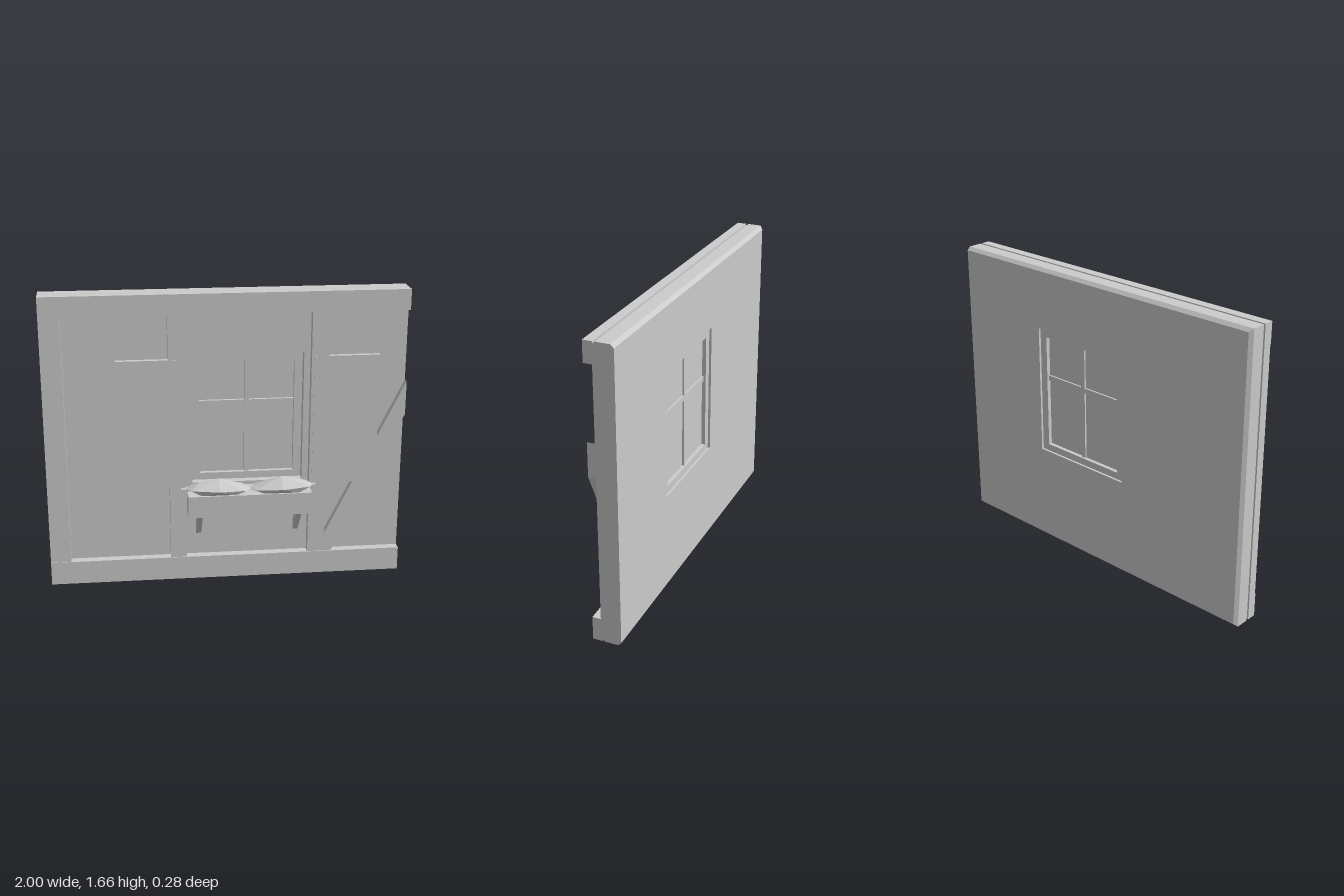
import * as THREE from 'three';
import { ConvexGeometry } from 'three/addons/geometries/ConvexGeometry.js';

const material = new THREE.MeshStandardMaterial({ color: 0xcccccc, flatShading: true });

export function createModel() {
  const model = new THREE.Group();

  const add = (name, geometry) => {
    const mesh = new THREE.Mesh(geometry, material);
    mesh.name = name;
    model.add(mesh);
    return mesh;
  };
  // Box given by its limits on each axis
  const box = (name, x0, x1, y0, y1, z0, z1) =>
    add(name, new THREE.BoxGeometry(x1 - x0, y1 - y0, z1 - z0)
      .translate((x0 + x1) / 2, (y0 + y1) / 2, (z0 + z1) / 2));
  const outline = (points, Type = THREE.Shape) => new Type(points.map(([x, y]) => new THREE.Vector2(x, y)));
  const rect = (x0, x1, y0, y1) => [[x0, y0], [x1, y0], [x1, y1], [x0, y1]];

  // Wall slab, chamfered on top, bottom and one end, with a square-cut window opening
  const win = { x0: -0.19, x1: 0.43, y0: 0.57, y1: 1.31 };
  const bevel = 0.018;
  const wallShape = outline(rect(-1 + bevel, 1, bevel, 1.66 - bevel));
  wallShape.holes.push(outline(rect(win.x0, win.x1, win.y0, win.y1).reverse(), THREE.Path));
  const wall = new THREE.ExtrudeGeometry(wallShape, {
    depth: 0.113 - 2 * bevel, bevelEnabled: true, bevelSegments: 1, bevelSize: bevel, bevelThickness: bevel,
  }).translate(0, 0, -0.143 + bevel);
  const p = wall.attributes.position;
  for (let i = 0; i < p.count; i++) {
    const x = p.getX(i), y = p.getY(i);
    if (Math.abs(x - 0.12) < 0.5) {
      p.setX(i, x < 0.12 ? win.x0 : win.x1);
      p.setY(i, y < 0.94 ? win.y0 : win.y1);
    } else p.setX(i, Math.min(x, 1));
  }
  wall.computeVertexNormals();
  add('wall', wall);

  // Timber framing
  const back = -0.035, front = 0.014;
  box('topBeam', -1, 1, 1.545, 1.66, back, 0.018);
  box('bottomBeam', -1, 1, 0, 0.135, back, 0.018);
  for (const [name, x0, x1] of [['endPost', -1, -0.885], ['windowPostRight', -0.32, -0.23], ['windowPostLeft', 0.465, 0.56]])
    box(name, x0, x1, 0.13, 1.55, back, front);
  const brace = outline([[0.55, 0.13], [0.6, 0.13], [1, 0.95], [1, 1.14], [0.56, 0.24], [0.55, 0.22]]);
  add('diagonalBrace', new THREE.ExtrudeGeometry(brace, { depth: 0.047, bevelEnabled: false }).translate(0, 0, back));

  // Open shutters
  box('shutterRight', -0.605, -0.24, 0.56, 1.3, -0.012, 0.016);
  box('shutterLeft', 0.48, 0.845, 0.56, 1.3, -0.012, 0.016);

  // Window frame, glazing bars and glass
  const frame = outline(rect(win.x0, win.x1, win.y0, win.y1));
  frame.holes.push(outline(rect(-0.145, 0.385, 0.61, 1.265).reverse(), THREE.Path));
  add('windowFrame', new THREE.ExtrudeGeometry(frame, { depth: 0.055, bevelEnabled: false }).translate(0, 0, -0.13));
  box('verticalGlazingBar', 0.107, 0.133, 0.61, 1.265, -0.118, -0.083);
  box('horizontalGlazingBar', -0.145, 0.385, 1.005, 1.035, -0.118, -0.083);
  box('glass', -0.15, 0.39, 0.605, 1.27, -0.108, -0.1);

  // Flower box with its mounting rail and slanted struts
  box('flowerBox', -0.225, 0.465, 0.42, 0.545, 0.01, 0.125);
  box('mountingRail', -0.26, 0.5, 0.505, 0.56, -0.005, 0.04);
  const strut = outline([[0.12, 0.425], [0.06, 0.425], [-0.01, 0.335], [-0.01, 0.27]]);
  for (const x of [-0.175, 0.38])
    add('strut', new THREE.ExtrudeGeometry(strut, { depth: 0.03, bevelEnabled: false })
      .rotateY(-Math.PI / 2).translate(x + 0.03, 0, 0));

  // Faceted plant mounds: points around a centre, in half widths along x
  const mound = [
    [-1, 0.57, 0.05], [-0.85, 0.575, 0.11], [0, 0.572, 0.138], [0.8, 0.565, 0.11], [1, 0.56, 0.06],
    [0.75, 0.575, 0.015], [-0.8, 0.58, 0.015], [0, 0.628, 0.062], [-0.6, 0.603, 0.06],
    [-0.5, 0.54, 0.11], [0.5, 0.54, 0.11], [-0.5, 0.54, 0.02], [0.5, 0.54, 0.02],
  ];
  for (const [cx, w, flip] of [[-0.05, 0.185, 1], [0.3, 0.182, -1]])
    add('plant', new ConvexGeometry(mound.map(([x, y, z]) => new THREE.Vector3(cx + x * w * flip, y, z))));

  return model;
}
